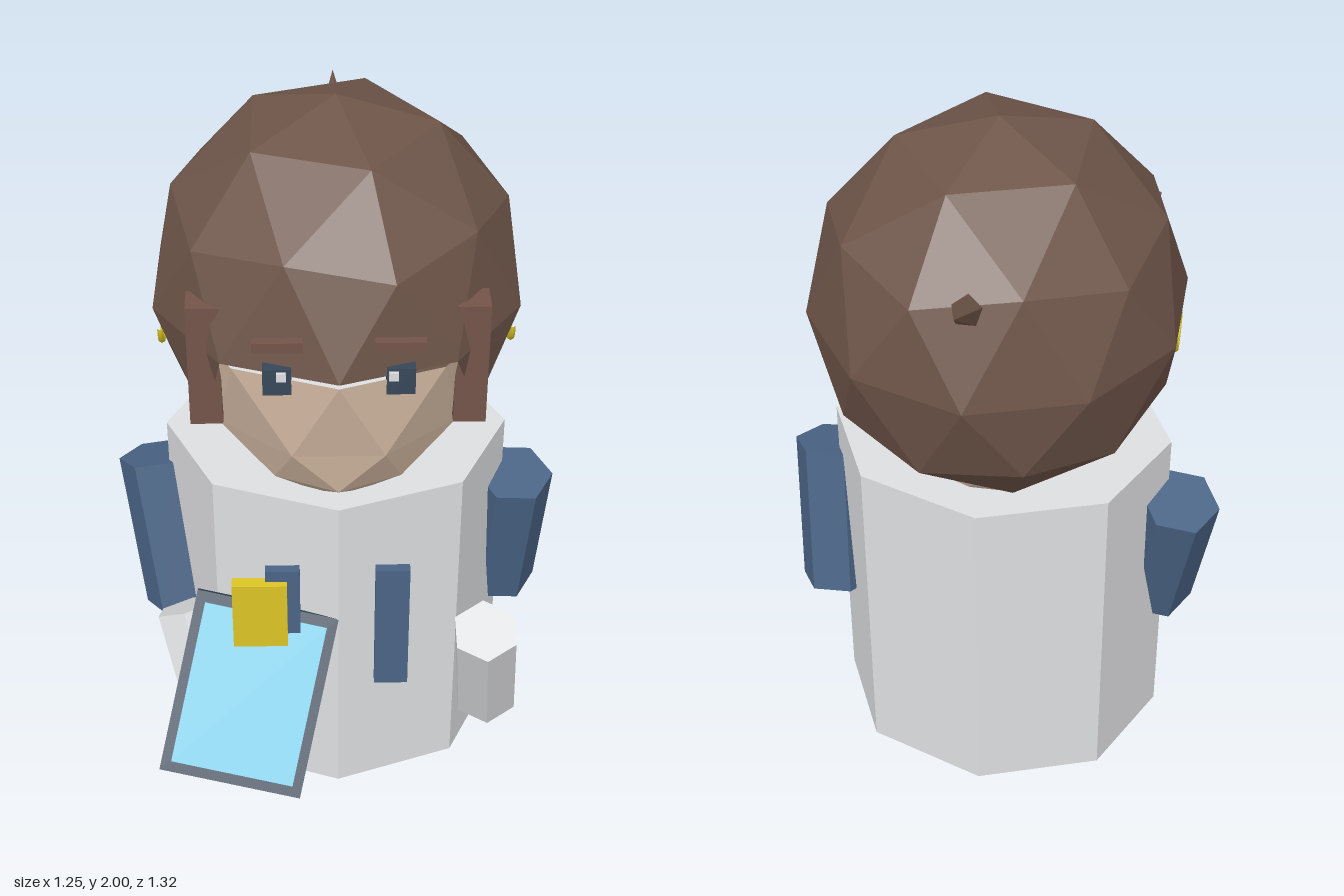
import * as THREE from 'three';

const V = (x, y, z) => new THREE.Vector3(x, y, z);

function paint(name, color) {
  const m = new THREE.MeshStandardMaterial({ color });
  m.name = name;
  return m;
}

// Give every face its own flat normal
function flat(geo) {
  const g = geo.index ? geo.toNonIndexed() : geo;
  g.computeVertexNormals();
  return g;
}

export function createModel() {
  const white = paint('pale grey', 0xdedfe1);
  const blue = paint('denim blue', 0x4a6485);
  const navy = paint('dark navy', 0x374759);
  const cyan = paint('screen cyan', 0x7ccbe5);
  const yellow = paint('yellow', 0xdcc526);
  const brown = paint('hair brown', 0x6e5549);
  brown.side = THREE.DoubleSide;
  const russet = paint('brow brown', 0x74544a);
  const skin = paint('skin', 0xd2b8a2);

  const model = new THREE.Group();
  const add = (name, geo, mat, parent = model) => {
    const mesh = new THREE.Mesh(geo, mat);
    mesh.name = name;
    parent.add(mesh);
    return mesh;
  };
  // Box given by its min and max corners
  const box = (name, mat, x0, x1, y0, y1, z0, z1) => {
    const mesh = add(name, new THREE.BoxGeometry(x1 - x0, y1 - y0, z1 - z0), mat);
    mesh.position.set((x0 + x1) / 2, (y0 + y1) / 2, (z0 + z1) / 2);
    return mesh;
  };
  // Prism or cone running from point a to point b
  const limb = (name, mat, a, b, r0, r1, sides, turn = 0) => {
    const dir = b.clone().sub(a);
    const geo = new THREE.CylinderGeometry(r1, r0, dir.length(), sides).rotateY(turn);
    const mesh = add(name, flat(geo), mat);
    mesh.position.copy(a).add(b).multiplyScalar(0.5);
    mesh.quaternion.setFromUnitVectors(V(0, 1, 0), dir.normalize());
    return mesh;
  };

  // Body: eight-sided column, narrower front to back
  const body = add('body', flat(new THREE.CylinderGeometry(1, 1, 1.01, 8).scale(0.48, 1, 0.415)), white);
  body.position.set(0.01, 0.505, -0.025);

  // Straps and badge on the chest
  for (const s of [-1, 1]) {
    const x = 0.008 + s * 0.15;
    box(s > 0 ? 'leftStrap' : 'rightStrap', blue, x - 0.047, x + 0.047, 0.41, 0.82, 0.385, 0.413);
  }
  box('badge', yellow, -0.28, -0.13, 0.57, 0.785, 0.395, 0.433);

  // Arms (bottom to top, so the prisms are not flipped over)
  limb('leftUpperArm', blue, V(0.5, 0.41, -0.075), V(0.52, 0.855, 0.02), 0.112, 0.112, 6, Math.PI / 6);
  limb('rightUpperArm', blue, V(-0.445, 0.415, 0.03), V(-0.51, 0.855, -0.09), 0.112, 0.112, 6, Math.PI / 6);
  limb('leftForearm', white, V(0.455, 0.16, 0.2), V(0.425, 0.555, 0.362), 0.096, 0.096, 6);
  limb('rightForearm', white, V(-0.315, 0.17, 0.385), V(-0.42, 0.52, 0.2), 0.096, 0.096, 6);

  // Tablet leaning on the chest
  const tablet = new THREE.Group();
  tablet.name = 'tablet';
  const u = V(0.39, -0.075, 0.045).normalize();
  const n = u.clone().cross(V(0.1, 0.43, -0.27)).normalize();
  const v = n.clone().cross(u);
  tablet.quaternion.setFromRotationMatrix(new THREE.Matrix4().makeBasis(u, v, n));
  tablet.position.set(-0.24, 0.452, 0.5);
  model.add(tablet);
  add('tabletCase', new THREE.BoxGeometry(0.4, 0.515, 0.026), navy, tablet).position.z = -0.013;
  add('tabletScreen', new THREE.BoxGeometry(0.345, 0.455, 0.006), cyan, tablet).position.z = 0.002;

  // Face and jaw: triangulated rings, each [height, half width, front z, back z]
  const rings = [[0.97, 0.19, 0.26, -0.3], [1.09, 0.285, 0.415, -0.37],
    [1.22, 0.39, 0.455, -0.47], [1.46, 0.46, 0.482, -0.55]];
  const N = 10, pos = [], idx = [];
  rings.forEach(([y, rx, zf, zb], r) => {
    for (let i = 0; i < N; i++) {
      const a = Math.PI / 2 + ((i + (r % 2 ? 0 : 0.5)) / N) * Math.PI * 2;
      pos.push(0.01 + rx * Math.cos(a), y, (zf + zb) / 2 + ((zf - zb) / 2) * Math.sin(a));
    }
  });
  for (let r = 0; r < rings.length - 1; r++) {
    for (let i = 0; i < N; i++) {
      const j = (i + 1) % N;
      const a = r * N + i, b = r * N + j, c = a + N, d = b + N;
      // Alternate the diagonal to follow the half-step twist
      if (r % 2) idx.push(a, c, b, b, c, d);
      else idx.push(a, d, b, a, c, d);
    }
  }
  const jaw = new THREE.BufferGeometry();
  jaw.setAttribute('position', new THREE.Float32BufferAttribute(pos, 3));
  jaw.setIndex(idx);
  add('face', flat(jaw), skin);

  // Hair: faceted ball standing on a corner, with the face and neck cut out
  const ball = new THREE.IcosahedronGeometry(1, 1).rotateZ(-Math.atan(2 / (1 + Math.sqrt(5))));
  const p = ball.attributes.position;
  const kept = [];
  for (let i = 0; i < p.count; i += 3) {
    const tri = [0, 1, 2].map((k) => new THREE.Vector3().fromBufferAttribute(p, i + k));
    const c = tri[0].clone().add(tri[1]).add(tri[2]).divideScalar(3);
    const deg = THREE.MathUtils.radToDeg(Math.atan2(c.z, c.x));
    const faceHole = c.y < -0.05 && deg > 45 && deg < 135;
    const neckHole = c.y < -0.54 && !(c.y > -0.68 && deg < -10 && deg > -130);
    if (!faceHole && !neckHole) tri.forEach((t) => kept.push(t.x, t.y, t.z));
  }
  const hairGeo = new THREE.BufferGeometry();
  hairGeo.setAttribute('position', new THREE.Float32BufferAttribute(kept, 3));
  hairGeo.scale(0.51, 0.53, 0.54).translate(0.01, 1.47, -0.06);
  add('hair', flat(hairGeo), brown);
  limb('hairTuft', brown, V(0.01, 1.705, -0.49), V(0.01, 1.795, -0.668), 0.046, 0, 5);

  // Paired details of the head
  for (const s of [-1, 1]) {
    const side = s > 0 ? 'left' : 'right';
    const at = (x, w) => [0.01 + s * x - w / 2, 0.01 + s * x + w / 2];
    box(side + 'Sideburn', russet, ...at(0.342, 0.085), 1.25, 1.6, 0.235, 0.325);
    box(side + 'Eyebrow', russet, ...at(0.152, 0.126), 1.552, 1.58, 0.433, 0.458);
    box(side + 'Eye', navy, ...at(0.155, 0.072), 1.42, 1.495, 0.405, 0.446);
    const gx = s > 0 ? 0.146 : -0.134;
    box(side + 'EyeGlint', white, gx - 0.012, gx + 0.012, 1.464, 1.488, 0.446, 0.454);
    const ring = add(side + 'Earring', new THREE.TorusGeometry(0.066, 0.009, 6, 14, Math.PI), yellow);
    ring.rotation.set(Math.PI, Math.PI / 2, 0, 'YXZ');
    ring.position.set(0.01 + s * 0.472, 1.385, 0.005);
  }

  return model;
}
